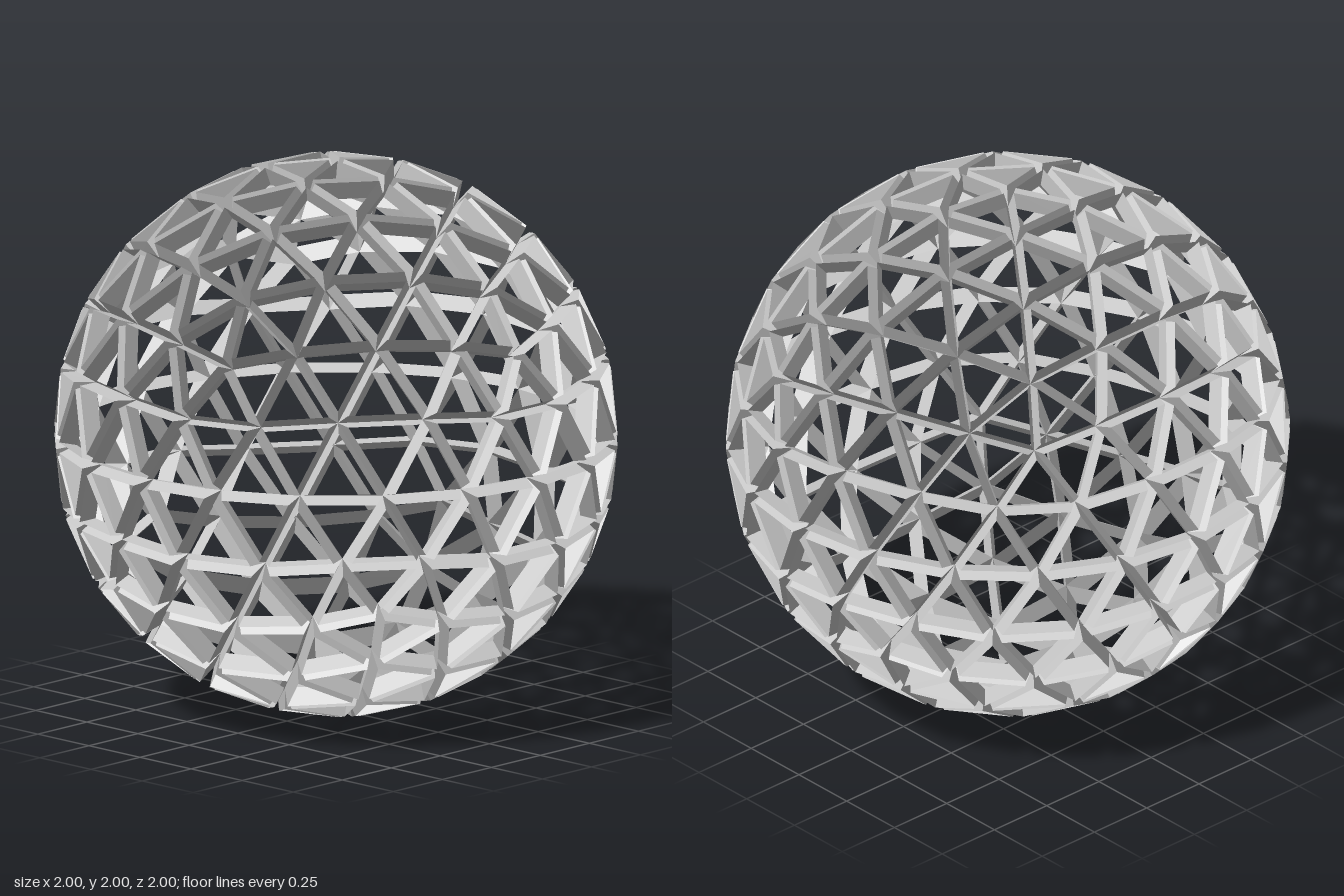
import * as THREE from 'three';

const INNER_RADIUS = 0.93; // where neighbouring frames touch
const TAPER = 0.22;        // how far outer corners draw in to the face centre

// Four sloping-walled, open triangular frames per edge of an icosahedron
function frameWalls() {
  const sphere = new THREE.IcosahedronGeometry(1, 3);
  // Put one five-way joint on top and a neighbouring one towards +x
  sphere.rotateZ(-Math.atan(2 / (1 + Math.sqrt(5))));
  const p = sphere.attributes.position;
  const positions = [];

  for (let i = 0; i < p.count; i += 3) {
    const corners = [0, 1, 2].map((k) => new THREE.Vector3().fromBufferAttribute(p, i + k));
    const centre = new THREE.Vector3();
    corners.forEach((c) => centre.addScaledVector(c, 1 / 3));
    const inner = corners.map((c) => c.clone().multiplyScalar(INNER_RADIUS));
    const outer = corners.map((c) => c.clone().lerp(centre, TAPER).normalize());

    // One wall along each side of the triangle
    for (let k = 0; k < 3; k++) {
      const n = (k + 1) % 3;
      for (const v of [inner[k], inner[n], outer[n], inner[k], outer[n], outer[k]]) {
        positions.push(v.x, v.y, v.z);
      }
    }
  }

  const geometry = new THREE.BufferGeometry();
  geometry.setAttribute('position', new THREE.Float32BufferAttribute(positions, 3));
  geometry.computeVertexNormals();
  return geometry;
}

export function createModel() {
  const group = new THREE.Group();
  group.name = 'geodesicSphere';
  const material = new THREE.MeshStandardMaterial({
    color: 0xcccccc, flatShading: true, side: THREE.DoubleSide,
  });
  const lattice = new THREE.Mesh(frameWalls(), material);
  lattice.name = 'triangularFrames';
  lattice.position.y = 1;
  group.add(lattice);
  return group;
}
